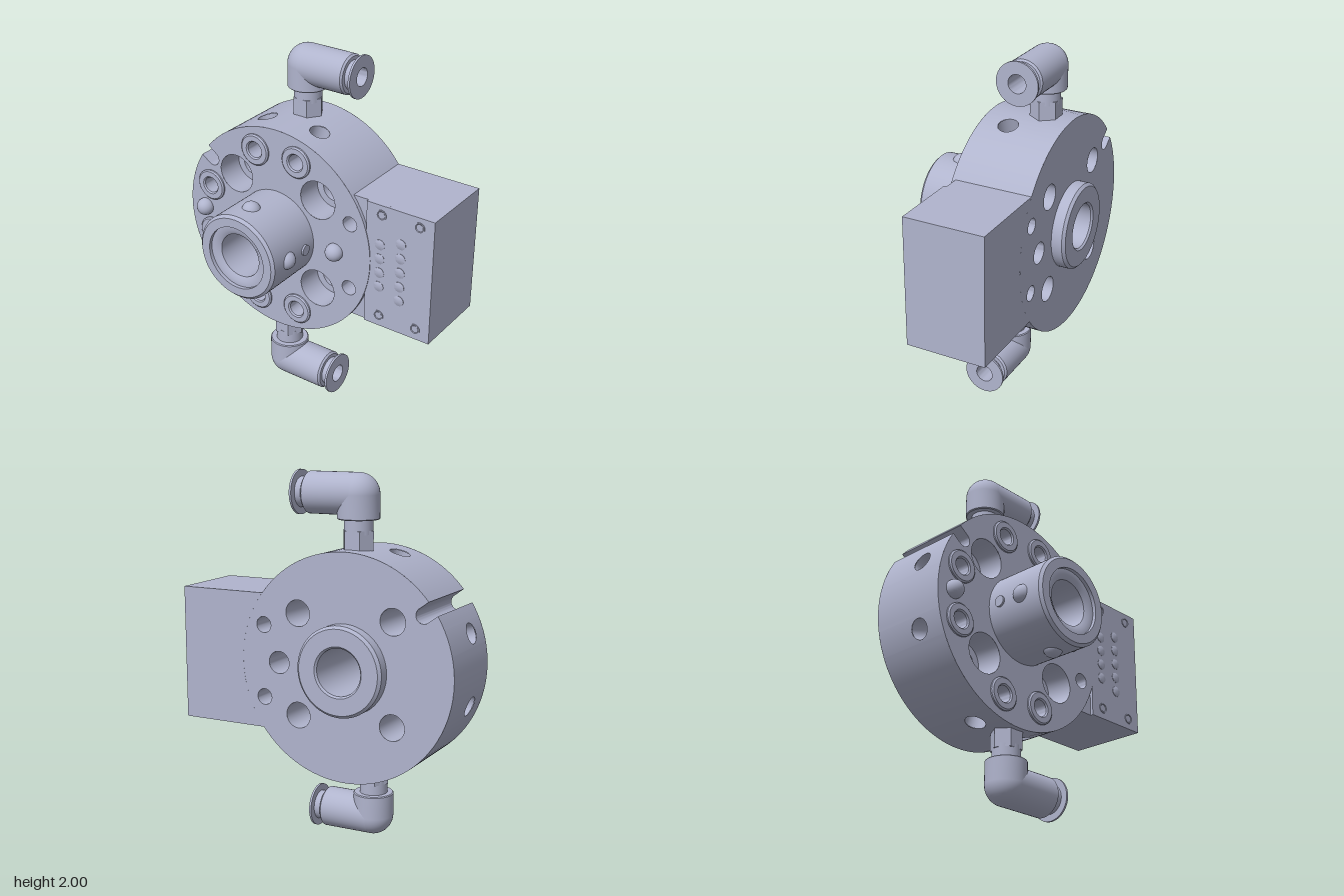
import * as THREE from 'three';
import { toCreasedNormals } from 'three/addons/utils/BufferGeometryUtils.js';

const metal = new THREE.MeshStandardMaterial({ color: 0xb0b4cd, side: THREE.DoubleSide });
metal.name = 'blue grey metal';

const CX = -0.185, CY = 1, R = 0.605, BACK = -0.37, FRONT = 0.085;
const rad = THREE.MathUtils.degToRad;

function add(parent, name, geometry, x = 0, y = 0, z = 0) {
  const mesh = new THREE.Mesh(geometry, metal);
  mesh.name = name;
  mesh.position.set(x, y, z);
  parent.add(mesh);
  return mesh;
}

// Turned part from [radius, height] pairs, along +y
function turned(pairs, segments = 40) {
  const g = new THREE.LatheGeometry(pairs.map(p => new THREE.Vector2(...p)), segments);
  return toCreasedNormals(g, rad(35));
}
const turnedZ = (pairs, segments) => turned(pairs, segments).rotateX(Math.PI / 2);

function circle(x, y, r) {
  return new THREE.Path().absarc(x, y, r, 0, Math.PI * 2, false);
}

// Wall standing along a line of points, from z0 to z1
function wall(points, z0, z1) {
  const n = points.length;
  const g = new THREE.PlaneGeometry(1, 1, n - 1, 1);
  points.forEach((p, i) => {
    g.attributes.position.setXYZ(i, p.x, p.y, z1);
    g.attributes.position.setXYZ(n + i, p.x, p.y, z0);
  });
  return toCreasedNormals(g, rad(35));
}

function arcPoints(from, to) {
  const n = Math.max(2, Math.ceil((to - from) / 3));
  return Array.from({ length: n + 1 }, (_, i) => {
    const a = rad(from + (to - from) * i / n);
    return new THREE.Vector2(R * Math.cos(a), R * Math.sin(a));
  });
}

const BIG = [[-0.271, 0.272], [0.271, 0.272], [-0.271, -0.272], [0.271, -0.272]];
const SMALL = [[0.476, 0.195], [0.476, -0.195]];
const BOLT_ANGLES = [73.5, 106.5, 161.5, 198.5, 253.5, 286.5];
const BOLTS = BOLT_ANGLES.map(a => [0.475 * Math.cos(rad(a)), 0.475 * Math.sin(rad(a))]);
const NOTCH = 144, NOTCH_W = 0.041, NOTCH_R = 0.54;
const notchHalf = THREE.MathUtils.radToDeg(Math.asin(NOTCH_W / R));

function notchArc(path) {
  return path.absarc(NOTCH_R * Math.cos(rad(NOTCH)), NOTCH_R * Math.sin(rad(NOTCH)),
    NOTCH_W, rad(NOTCH - 90), rad(NOTCH - 270), true);
}

function discFace(holes) {
  const s = new THREE.Shape();
  s.absarc(0, 0, R, rad(NOTCH + notchHalf), rad(NOTCH - notchHalf + 360), false);
  notchArc(s);
  s.closePath();
  s.holes = holes.map(h => circle(...h));
  return new THREE.ShapeGeometry(s, 48);
}

function buildDisc(body) {
  const small = SMALL.map(p => [...p, 0.043]);
  add(body, 'discFrontFace', discFace([[0, 0, 0.2], ...small,
    ...BIG.map(p => [...p, 0.11]), ...BOLTS.map(p => [...p, 0.07])]), 0, 0, FRONT);
  add(body, 'discBackFace', discFace([[0, 0, 0.2], ...small, [0.385, 0, 0.06],
    ...BIG.map(p => [...p, 0.07])]).rotateY(Math.PI).scale(-1, 1, 1), 0, 0, BACK);

  // Hole linings
  for (const [x, y] of BIG) {
    add(body, 'counterbore', turnedZ([[0.07, BACK], [0.07, -0.07], [0.11, -0.07], [0.11, FRONT]]), x, y);
  }
  for (const [x, y] of SMALL) add(body, 'dowelHole', turnedZ([[0.043, BACK], [0.043, FRONT]]), x, y);
  add(body, 'rearBlindHole', turnedZ([[0.06, BACK], [0.06, -0.1], [0, -0.1]]), 0.385, 0);

  // Notch walls
  const edge = a => new THREE.Vector2(R * Math.cos(rad(a)), R * Math.sin(rad(a)));
  const notch = [edge(NOTCH - notchHalf), ...notchArc(new THREE.Path()).getPoints(12), edge(NOTCH + notchHalf)];
  add(body, 'notchWall', wall(notch, BACK, FRONT));

  // Rim: plain arcs between curved panels that carry the radial ports
  const half = 6.5, portZ = -0.075, portR = 0.055;
  let from = NOTCH + notchHalf;
  const end = NOTCH - notchHalf + 360;
  const ports = BOLT_ANGLES.map(a => (a < from ? a + 360 : a)).sort((a, b) => a - b);
  for (const a of ports) {
    add(body, 'rim', wall(arcPoints(from, a - half), BACK, FRONT));
    from = a + half;
    const w = rad(half) * R;
    const s = new THREE.Shape();
    s.moveTo(-w, BACK).lineTo(0, BACK).lineTo(w, BACK).lineTo(w, FRONT).lineTo(0, FRONT).lineTo(-w, FRONT);
    s.holes = [circle(0, portZ, portR)];
    const g = new THREE.ShapeGeometry(s, 16);
    const p = g.attributes.position;
    for (let i = 0; i < p.count; i++) {
      const t = rad(a) + p.getX(i) / R, z = p.getY(i);
      p.setXYZ(i, R * Math.cos(t), R * Math.sin(t), z);
      g.attributes.normal.setXYZ(i, Math.cos(t), Math.sin(t), 0);
    }
    add(body, 'rimPortPanel', g);
    const port = add(body, 'radialPort', turned([[0, 0.44], [portR, 0.44], [portR, 0.603]], 32), 0, 0, portZ);
    port.rotation.z = rad(a) - Math.PI / 2;
  }
  add(body, 'rim', wall(arcPoints(from, end), BACK, FRONT));

  // Raised bolt bushings
  for (const [x, y] of BOLTS) {
    add(body, 'boltBushing', turnedZ([[0, -0.02], [0.045, -0.02], [0.045, 0.092], [0.052, 0.1],
      [0.082, 0.1], [0.09, 0.093], [0.09, 0.07]]), x, y);
  }
  for (const x of [-0.5, 0.385]) add(body, 'faceBall', new THREE.SphereGeometry(0.05, 24, 16), x, 0, 0.095);
}

function buildHub(body) {
  add(body, 'hub', turnedZ([[0.24, BACK], [0.24, -0.43], [0.225, -0.445], [0.135, -0.445], [0.125, -0.435],
    [0.125, 0.41], [0.15, 0.425], [0.18, 0.425], [0.18, 0.445], [0.23, 0.445], [0.245, 0.43], [0.245, FRONT]], 64));
  for (let i = 0; i < 4; i++) {
    const a = i * Math.PI / 2;
    add(body, 'hubBall', new THREE.SphereGeometry(0.052, 24, 16),
      0.224 * Math.cos(a), 0.224 * Math.sin(a), 0.305);
  }
  for (const s of [-1, 1]) {
    add(body, 'hubPin', new THREE.CylinderGeometry(0.03, 0.03, 0.04, 20).rotateZ(Math.PI / 2), s * 0.235, 0, 0.165);
  }
}

// Push-in elbow standing on the rim, opening toward +x
function buildFitting(name) {
  const g = new THREE.Group();
  g.name = name;
  const hex = new THREE.CylinderGeometry(0.086, 0.086, 0.11, 6).rotateY(Math.PI / 2);
  add(g, 'hexNut', toCreasedNormals(hex, 0.3), 0, 0.645);
  add(g, 'fittingNeck', new THREE.CylinderGeometry(0.076, 0.076, 0.09, 32), 0, 0.725);
  add(g, 'elbowStem', turned([[0, 0.755], [0.105, 0.755], [0.11, 0.76], [0.11, 0.883]]));
  add(g, 'elbowCorner', new THREE.SphereGeometry(0.11, 40, 24), 0, 0.883);
  add(g, 'elbowArm', turned([[0.11, 0], [0.11, 0.275], [0.1, 0.285], [0.08, 0.285], [0.08, 0.33],
    [0.117, 0.33], [0.117, 0.342], [0.05, 0.342], [0.05, 0.14], [0, 0.14]]).rotateZ(-Math.PI / 2), 0, 0.883);
  return g;
}

function buildBlock(root) {
  const s = new THREE.Shape();
  s.moveTo(0.79, 0.637).lineTo(0.79, 1.363);
  s.absarc(CX, CY, R, 0.6437, -0.6437, true);
  s.closePath();
  const g = new THREE.ExtrudeGeometry(s, { depth: 0.435, bevelEnabled: false, curveSegments: 24 });
  add(root, 'sideBlock', toCreasedNormals(g, rad(35)), 0, 0, BACK);
  add(root, 'contactPlate', new THREE.BoxGeometry(0.4, 0.726, 0.016), 0.59, CY, 0.073);

  // Screws and two columns of contacts
  for (const x of [0.48, 0.705]) for (const y of [0.7, 1.307]) {
    add(root, 'plateScrew', turnedZ([[0, 0.082], [0.02, 0.082], [0.024, 0.085], [0.03, 0.085], [0.03, 0.078]], 24), x, y);
  }
  const contact = [[0, 0.086], [0.024, 0.086], [0.03, 0.083], [0.03, 0.078]];
  for (let i = 0; i < 4; i++) add(root, 'contact', turnedZ(contact, 24), 0.475, 0.88 + i * 0.084);
  for (let i = 0; i < 5; i++) add(root, 'contact', turnedZ(contact, 24), 0.6, 0.835 + i * 0.085);
}

export function createModel() {
  const root = new THREE.Group();
  root.name = 'toolCoupler';
  const body = new THREE.Group();
  body.name = 'couplerBody';
  body.position.set(CX, CY, 0);
  root.add(body);
  buildDisc(body);
  buildHub(body);

  const upper = buildFitting('upperFitting');
  upper.position.z = -0.21;
  const lower = buildFitting('lowerFitting');
  lower.scale.y = -1;
  lower.position.z = -0.02;
  body.add(upper, lower);

  buildBlock(root);
  return root;
}
